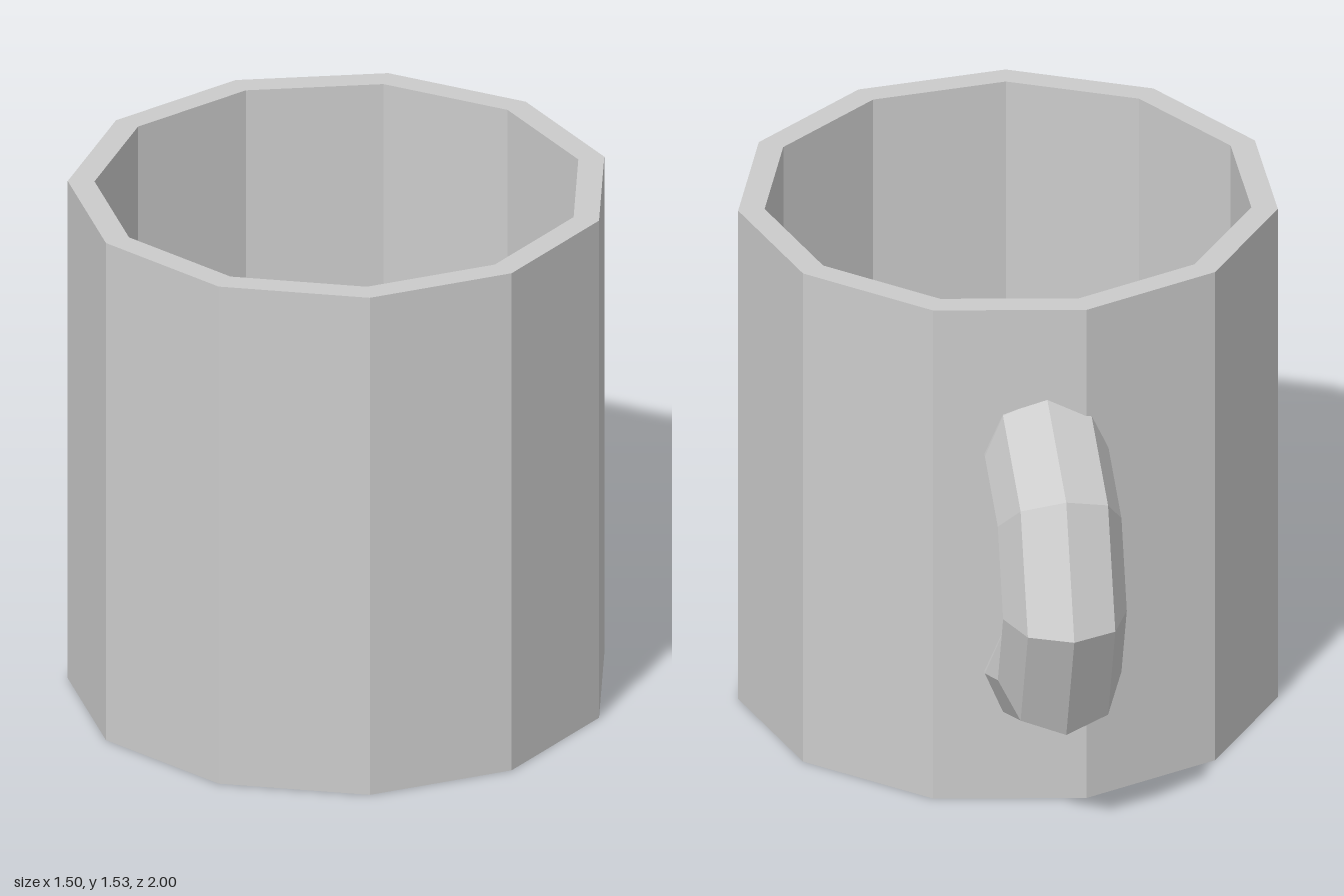
import * as THREE from 'three';

const SIDES = 11, HEIGHT = 1.53, OUTER = 0.763, INNER = 0.688, FLOOR = 0.08;
const CX = -0.018, CZ = 0.243;
const material = new THREE.MeshStandardMaterial({ color: 0xcccccc, flatShading: true });

function part(name, geometry, x, y, z) {
  const flat = geometry.toNonIndexed();
  flat.computeVertexNormals();
  const mesh = new THREE.Mesh(flat, material);
  mesh.name = name;
  mesh.position.set(x, y, z);
  return mesh;
}

export function createModel() {
  const mug = new THREE.Group();
  mug.name = 'mug';

  // Hollow cup: underside, outer wall, rim, inner wall and floor in one profile
  const profile = [
    [0, 0], [OUTER, 0], [OUTER, HEIGHT], [INNER, HEIGHT], [INNER, FLOOR], [0, FLOOR],
  ].map(([r, y]) => new THREE.Vector2(r, y));
  mug.add(part('cup', new THREE.LatheGeometry(profile, SIDES, Math.PI / 2), CX, 0, CZ));

  // Half-ring handle on the back
  const handle = new THREE.Group();
  handle.name = 'handle';
  handle.position.set(CX, 0.738, -0.485);
  const R = 0.34, r = 0.175;
  const ring = new THREE.TorusGeometry(R, r, 8, 4, Math.PI);
  ring.rotateZ(-Math.PI / 2).rotateY(Math.PI / 2);
  handle.add(part('handleLoop', ring, 0, 0, 0));

  // Short ends sunk into the cup wall
  for (const side of [1, -1]) {
    const end = new THREE.CylinderGeometry(r, r, 0.04, 8, 1).rotateX(Math.PI / 2);
    handle.add(part(side > 0 ? 'upperHandleEnd' : 'lowerHandleEnd', end, 0, side * R, 0.02));
  }
  mug.add(handle);
  return mug;
}
